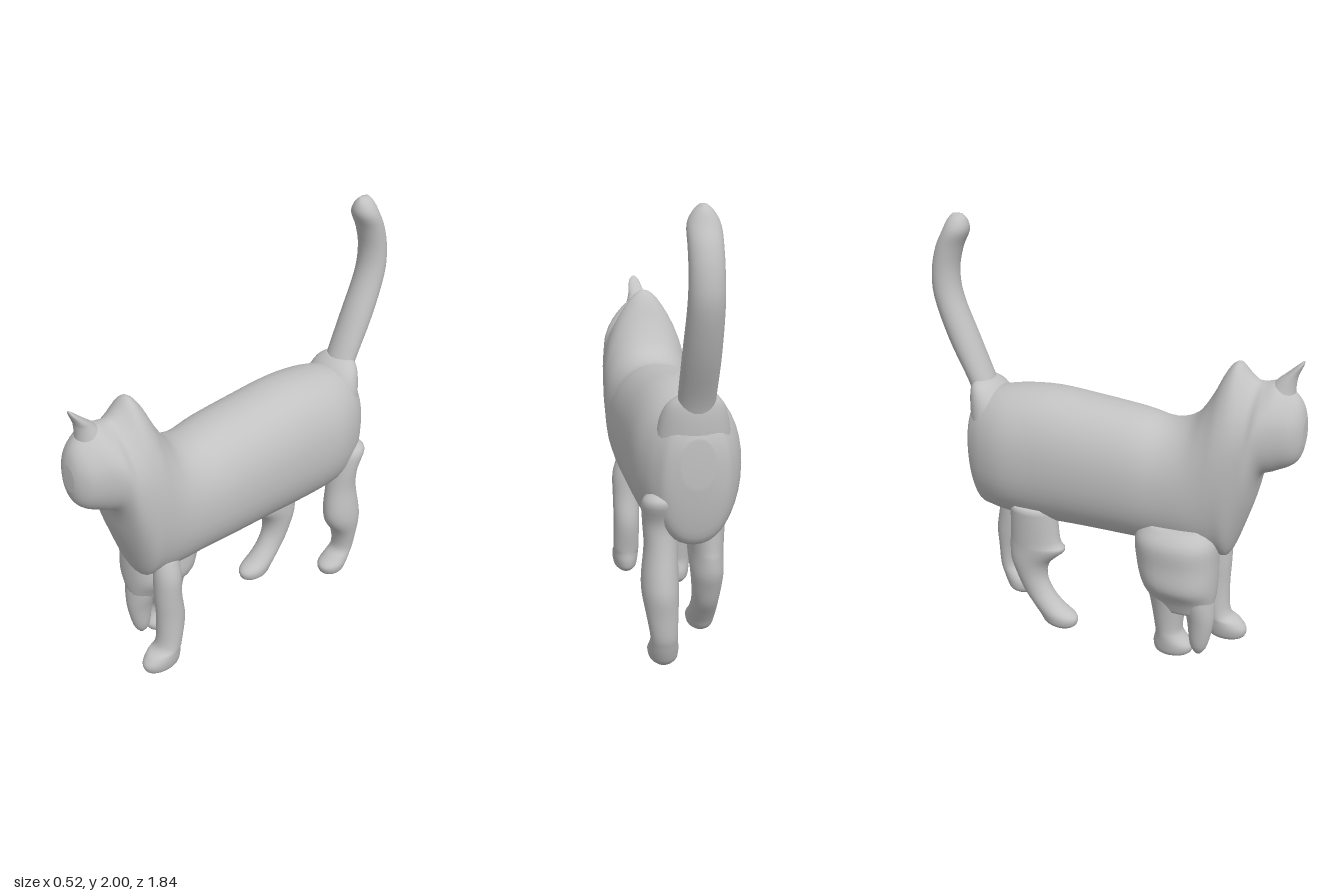
import * as THREE from 'three';

const fur = new THREE.MeshStandardMaterial({ color: 0xc2c2c2 });
fur.name = 'light grey fur';

// Smooth curve through rows of numbers
function refine(rows, steps) {
  const out = [];
  for (let i = 0; i < rows.length - 1; i++) {
    const p = [rows[Math.max(i - 1, 0)], rows[i], rows[i + 1], rows[Math.min(i + 2, rows.length - 1)]];
    for (let s = 0; s < steps; s++) {
      const t = s / steps;
      out.push(p[1].map((b, k) => {
        const [a, , c, d] = p.map((r) => r[k]);
        return b + 0.5 * t * (c - a + t * (2 * a - 5 * b + 4 * c - d + t * (3 * (b - c) + d - a)));
      }));
    }
  }
  out.push(rows[rows.length - 1]);
  return out;
}

// Skin over oval sections. Row: [station, low, high, centre x, half width, narrowing of the high side].
// Upright skins run up y with low/high in z; lengthwise ones run front to back with low/high in y.
function skin(name, rows, { lengthwise = false, power = 1, sides = 28, steps = 4 } = {}) {
  const rings = refine(rows, steps);
  const closed = ([t, lo, hi, x]) => [t, (lo + hi) / 2, (lo + hi) / 2, x, 0];
  rings.unshift(closed(rings[0]));
  rings.push(closed(rings[rings.length - 1]));
  const bend = (v) => Math.sign(v) * Math.abs(v) ** power;
  const pos = [], index = [];
  rings.forEach(([t, lo, hi, x, hw, narrowing = 0], i) => {
    for (let j = 0; j < sides; j++) {
      const a = (j / sides) * Math.PI * 2;
      const u = (lo + hi) / 2 + ((hi - lo) / 2) * bend(Math.cos(a));
      const slim = 1 - narrowing * Math.max(Math.cos(a), 0) ** 2;
      const px = x + Math.max(hw, 0) * bend(Math.sin(a)) * slim;
      pos.push(px, lengthwise ? u : t, lengthwise ? t : u);
      if (i < rings.length - 1) {
        const p = i * sides + j, q = i * sides + ((j + 1) % sides);
        index.push(p, q, p + sides, q, q + sides, p + sides);
      }
    }
  });
  const g = new THREE.BufferGeometry();
  g.setAttribute('position', new THREE.Float32BufferAttribute(pos, 3));
  g.setIndex(index);
  g.computeVertexNormals();
  const mesh = new THREE.Mesh(g, fur);
  mesh.name = name;
  return mesh;
}

export function createModel() {
  const cat = new THREE.Group();
  cat.name = 'cat';

  // Head, neck and trunk in one skin, nose to rump
  cat.add(skin('headAndBody', [
    [0.92, 1.13, 1.25, 0.015, 0.04, 0.1],
    [0.905, 1.07, 1.31, 0.015, 0.075, 0.2],
    [0.87, 1.03, 1.36, 0.015, 0.115, 0.3],
    [0.80, 0.995, 1.41, 0.015, 0.155, 0.4],
    [0.74, 0.96, 1.40, 0.015, 0.185, 0.45],
    [0.70, 0.80, 1.40, 0.015, 0.20, 0.45],
    [0.66, 0.67, 1.43, 0.015, 0.207, 0.42],
    [0.61, 0.54, 1.475, 0.015, 0.213, 0.4],
    [0.56, 0.53, 1.43, 0.015, 0.217, 0.35],
    [0.50, 0.53, 1.31, 0.015, 0.22, 0.2],
    [0.42, 0.54, 1.20, 0.015, 0.225, 0.08],
    [0.30, 0.55, 1.155, 0.015, 0.23, 0],
    [0.15, 0.55, 1.18, 0.015, 0.24, 0],
    [-0.10, 0.55, 1.205, 0.015, 0.245, 0],
    [-0.30, 0.545, 1.22, 0.015, 0.245, 0],
    [-0.48, 0.55, 1.205, 0.015, 0.24, 0],
    [-0.60, 0.56, 1.18, 0.015, 0.205, 0],
    [-0.67, 0.58, 1.15, 0.015, 0.165, 0],
    [-0.705, 0.70, 1.10, 0.015, 0.13, 0],
    [-0.725, 0.84, 1.04, 0.015, 0.07, 0],
  ], { lengthwise: true, power: 0.92, sides: 40 }));

  // Single ear at the brow
  cat.add(skin('ear', [
    [1.30, 0.70, 0.87, 0.015, 0.085],
    [1.37, 0.74, 0.865, 0.015, 0.06],
    [1.42, 0.785, 0.868, 0.015, 0.044],
    [1.45, 0.82, 0.875, 0.018, 0.037],
    [1.49, 0.865, 0.892, 0.02, 0.025],
    [1.51, 0.888, 0.896, 0.02, 0.008],
  ]));

  // Tail and the fold at its root
  cat.add(skin('tailRoot', [
    [0.95, -0.71, -0.50, 0.015, 0.17],
    [1.10, -0.722, -0.52, 0.015, 0.15],
    [1.18, -0.72, -0.57, 0.015, 0.12],
    [1.22, -0.71, -0.62, 0.015, 0.075],
  ]));
  cat.add(skin('tail', [
    [1.08, -0.70, -0.57, 0.015, 0.08],
    [1.20, -0.74, -0.61, 0.015, 0.08],
    [1.40, -0.84, -0.69, 0.015, 0.08],
    [1.60, -0.91, -0.77, 0.015, 0.075],
    [1.73, -0.915, -0.785, 0.015, 0.072],
    [1.84, -0.89, -0.76, 0.015, 0.071],
    [1.92, -0.85, -0.722, 0.015, 0.068],
    [1.97, -0.825, -0.725, 0.015, 0.045],
    [2.00, -0.80, -0.745, 0.015, 0.015],
  ]));

  // Front legs
  cat.add(skin('leftFrontLeg', [
    [0.00, 0.50, 0.63, 0.13, 0.035],
    [0.02, 0.475, 0.66, 0.13, 0.055],
    [0.06, 0.465, 0.67, 0.13, 0.065],
    [0.10, 0.465, 0.64, 0.13, 0.067],
    [0.14, 0.46, 0.585, 0.13, 0.066],
    [0.28, 0.435, 0.575, 0.13, 0.066],
    [0.42, 0.45, 0.58, 0.13, 0.068],
    [0.54, 0.45, 0.58, 0.13, 0.068],
    [0.64, 0.45, 0.57, 0.115, 0.055],
  ]));
  cat.add(skin('rightFrontLeg', [
    [0.00, 0.30, 0.43, -0.105, 0.04],
    [0.02, 0.285, 0.465, -0.105, 0.06],
    [0.06, 0.28, 0.475, -0.105, 0.068],
    [0.11, 0.29, 0.43, -0.105, 0.07],
    [0.16, 0.285, 0.42, -0.105, 0.072],
    [0.30, 0.26, 0.44, -0.105, 0.09],
    [0.45, 0.22, 0.45, -0.105, 0.12],
  ]));
  // Tapering blade in front of the right leg
  cat.add(skin('rightFrontBlade', [
    [0.03, 0.49, 0.52, -0.11, 0.012],
    [0.08, 0.465, 0.55, -0.11, 0.04],
    [0.20, 0.45, 0.575, -0.11, 0.06],
    [0.30, 0.43, 0.575, -0.105, 0.085],
    [0.42, 0.40, 0.56, -0.10, 0.11],
  ]));
  cat.add(skin('rightShoulder', [
    [0.26, 0.29, 0.56, -0.105, 0.075],
    [0.33, 0.25, 0.575, -0.10, 0.11],
    [0.41, 0.22, 0.58, -0.10, 0.16],
    [0.52, 0.195, 0.58, -0.10, 0.16],
    [0.63, 0.19, 0.575, -0.10, 0.16],
    [0.70, 0.24, 0.53, -0.09, 0.12],
  ], { power: 0.85 }));

  // Hind legs
  cat.add(skin('leftHindLeg', [
    [0.00, -0.61, -0.51, 0.135, 0.04],
    [0.02, -0.63, -0.492, 0.135, 0.06],
    [0.06, -0.65, -0.485, 0.138, 0.068],
    [0.10, -0.665, -0.53, 0.14, 0.064],
    [0.15, -0.68, -0.575, 0.143, 0.06],
    [0.25, -0.69, -0.56, 0.15, 0.07],
    [0.34, -0.70, -0.505, 0.155, 0.08],
    [0.42, -0.69, -0.49, 0.155, 0.08],
    [0.55, -0.665, -0.505, 0.15, 0.073],
    [0.66, -0.66, -0.52, 0.155, 0.075],
    [0.76, -0.70, -0.54, 0.16, 0.075],
    [0.80, -0.67, -0.58, 0.15, 0.045],
  ]));
  cat.add(skin('rightHindLeg', [
    [0.00, -0.28, -0.16, -0.10, 0.04],
    [0.02, -0.31, -0.14, -0.10, 0.058],
    [0.06, -0.335, -0.14, -0.10, 0.066],
    [0.11, -0.37, -0.21, -0.10, 0.064],
    [0.18, -0.42, -0.27, -0.10, 0.062],
    [0.26, -0.455, -0.30, -0.10, 0.068],
    [0.34, -0.485, -0.28, -0.10, 0.075],
    [0.42, -0.49, -0.20, -0.10, 0.078],
    [0.47, -0.485, -0.225, -0.10, 0.078],
    [0.65, -0.48, -0.24, -0.10, 0.085],
  ]));

  return cat;
}
